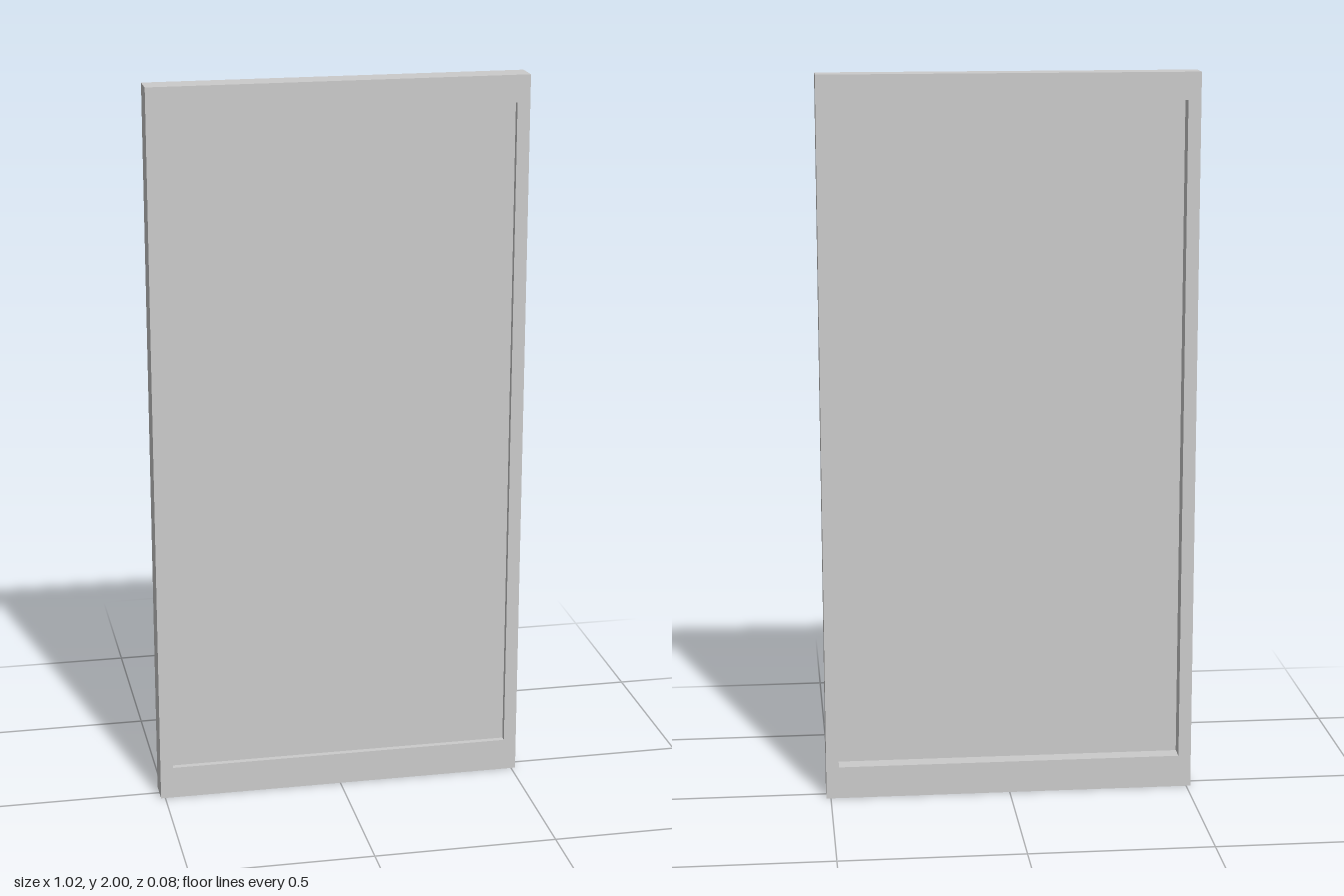
import * as THREE from 'three';

const WIDTH = 1.024, HEIGHT = 2, DEPTH = 0.075;
const OPENING = { x: 0.477, bottom: 0.09, top: 1.926 };
const PANEL = { back: 0.01, front: 0.021 };

// Closed rectangle from its left, bottom, right and top edges
function rectangle(Type, x0, y0, x1, y1) {
  const path = new Type();
  path.moveTo(x0, y0);
  path.lineTo(x1, y0);
  path.lineTo(x1, y1);
  path.lineTo(x0, y1);
  path.closePath();
  return path;
}

export function createModel() {
  const group = new THREE.Group();
  group.name = 'framedPanel';
  const material = new THREE.MeshStandardMaterial({ color: 0xcccccc });

  // Surround with a rectangular opening, deeper at the bottom rail
  const outline = rectangle(THREE.Shape, -WIDTH / 2, 0, WIDTH / 2, HEIGHT);
  outline.holes.push(rectangle(THREE.Path, -OPENING.x, OPENING.bottom, OPENING.x, OPENING.top));
  const frameGeometry = new THREE.ExtrudeGeometry(outline, { depth: DEPTH, bevelEnabled: false });
  frameGeometry.translate(0, 0, -DEPTH / 2);
  const frame = new THREE.Mesh(frameGeometry, material);
  frame.name = 'frame';
  group.add(frame);

  // Thin panel, set shallow at the front and deep at the back
  const panel = new THREE.Mesh(
    new THREE.BoxGeometry(OPENING.x * 2, OPENING.top - OPENING.bottom, PANEL.front - PANEL.back),
    material
  );
  panel.name = 'panel';
  panel.position.set(0, (OPENING.bottom + OPENING.top) / 2, (PANEL.front + PANEL.back) / 2);
  group.add(panel);

  return group;
}
